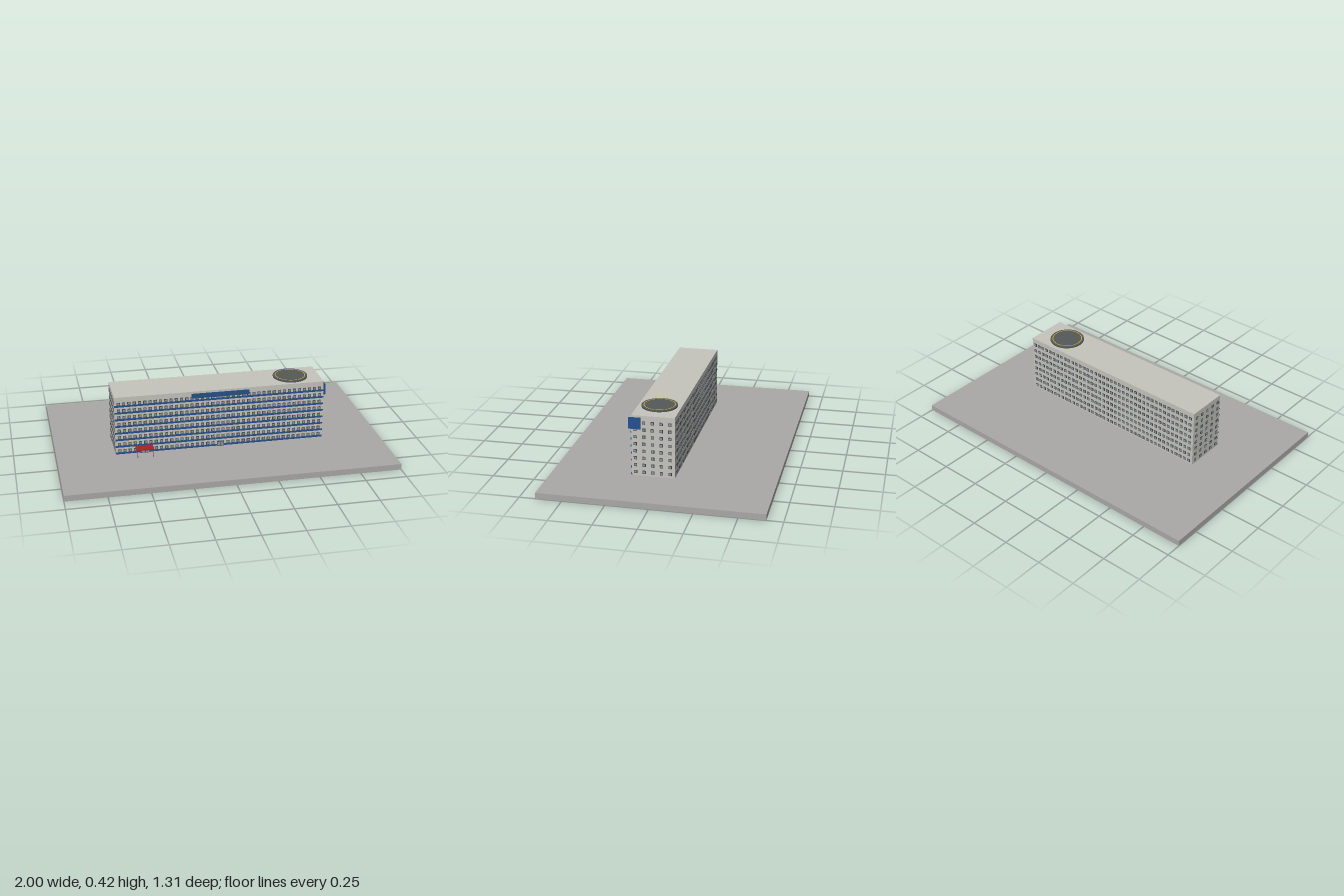
import * as THREE from 'three';
import { mergeGeometries } from 'three/addons/utils/BufferGeometryUtils.js';

const mat = (color) => new THREE.MeshStandardMaterial({ color });

export function createModel() {
  const model = new THREE.Group();
  const wall = mat(0xc4c3bc), ground = mat(0xaaa8a6), blue = mat(0x24508f), dark = mat(0x4a4d50);
  const glass = mat(0x8a969f), red = mat(0xa3242a), yellow = mat(0xc9b12a), steel = mat(0x55585a);

  function add(name, geometry, material, x = 0, y = 0, z = 0) {
    const mesh = new THREE.Mesh(geometry, material);
    mesh.name = name;
    mesh.position.set(x, y, z);
    model.add(mesh);
    return mesh;
  }
  // Box given by its minimum and maximum corners
  function block(name, material, x0, x1, y0, y1, z0, z1) {
    return add(name, new THREE.BoxGeometry(x1 - x0, y1 - y0, z1 - z0), material,
      (x0 + x1) / 2, (y0 + y1) / 2, (z0 + z1) / 2);
  }

  const groundY = 0.036, roofY = 0.408, halfX = 0.645, backZ = -0.07, frontZ = 0.186;
  const midZ = (backZ + frontZ) / 2;

  // Ground slab and main building
  block('groundSlab', ground, -1, 1, 0, groundY, -0.655, 0.655);
  block('building', wall, -halfX, halfX, groundY, roofY, backZ, frontZ);

  // Windows on all four faces: dark frames with lighter panes
  const floors = 8, floorStep = 0.0437, firstRow = 0.06;
  const frames = [], panes = [];
  function windowAt(x, y, z, turn) {
    for (const [list, size, depth] of [[frames, 0.019, 0.006], [panes, 0.012, 0.008]]) {
      list.push(new THREE.BoxGeometry(size, size, depth).rotateY(turn).translate(x, y, z));
    }
  }
  for (let floor = 0; floor < floors; floor++) {
    const y = firstRow + floor * floorStep;
    for (let i = 0; i < 40; i++) {
      const x = (i - 19.5) * 0.0318;
      const atDoor = floor === 0 && (Math.abs(x) < 0.035 || Math.abs(x + 0.47) < 0.045);
      if (!atDoor) windowAt(x, y, frontZ, 0);
      windowAt(x, y, backZ, 0);
    }
    for (let i = 0; i < 5; i++) {
      for (const side of [-1, 1]) windowAt(side * halfX, y, 0.163 - i * 0.0512, Math.PI / 2);
    }
    // Blue band under each row on the front
    block('floorBand', blue, -halfX, halfX, y - 0.0205, y - 0.0105, frontZ - 0.002, frontZ + 0.004);
  }
  add('windowFrames', mergeGeometries(frames), dark);
  add('windowPanes', mergeGeometries(panes), glass);

  // Plain sign boards
  block('frontSign', blue, -0.178, 0.178, 0.366, 0.395, frontZ, frontZ + 0.006);
  block('sideSign', blue, halfX, halfX + 0.008, 0.327, 0.396, 0.13, 0.202);

  // Doors
  function door(x, width, height) {
    block('doorFrame', dark, x - width / 2, x + width / 2, groundY, groundY + height, frontZ, frontZ + 0.005);
    for (const side of [-1, 1]) {
      const c = x + side * width * 0.23;
      block('doorPane', glass, c - width * 0.18, c + width * 0.18, groundY + 0.004,
        groundY + height - 0.005, frontZ, frontZ + 0.007);
    }
  }
  door(-0.465, 0.06, 0.038);
  door(0, 0.045, 0.034);

  // Entrance canopy on two thin posts
  block('canopy', red, -0.526, -0.42, 0.081, 0.087, frontZ, 0.256);
  for (const x of [-0.52, -0.426]) {
    add('canopyPost', new THREE.CylinderGeometry(0.002, 0.002, 0.046, 8), steel, x, 0.059, 0.252);
  }

  // Rooftop landing pad with a painted ring
  const padX = 0.465, padZ = midZ + 0.002, padTop = 0.417;
  add('landingPad', new THREE.CylinderGeometry(0.106, 0.106, padTop - roofY, 48), steel,
    padX, (roofY + padTop) / 2, padZ);
  add('padRing', new THREE.RingGeometry(0.089, 0.094, 48).rotateX(-Math.PI / 2), yellow, padX, padTop + 0.001, padZ);

  return model;
}
